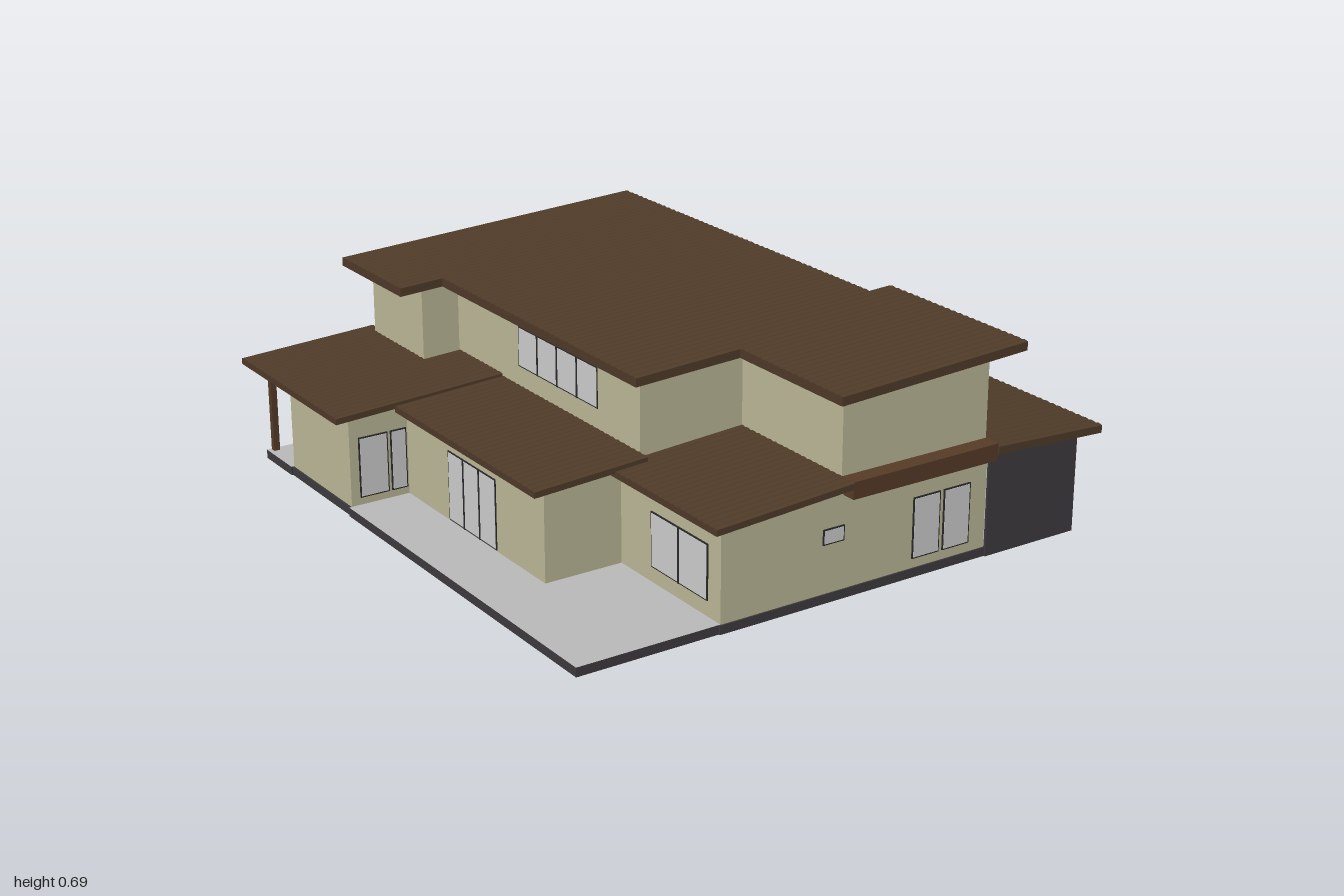
import * as THREE from 'three';

const mat = (color) => new THREE.MeshStandardMaterial({ color, flatShading: true });
const M = {
  tan: mat(0xbab697), dark: mat(0x3d3a3d), roof: mat(0x4e3a28), trim: mat(0x553b27), panel: mat(0x211a13),
  frame: mat(0x2b2a2a), grey: mat(0xcccccc), slab: mat(0xb8b8b8), drive: mat(0x929f91),
};

export function createModel() {
  const house = new THREE.Group();
  house.name = 'house';

  const add = (name, geo, m) => {
    const mesh = new THREE.Mesh(geo, m);
    mesh.name = name;
    house.add(mesh);
  };
  // Axis-aligned box from its limits
  const box = (name, x0, x1, y0, y1, z0, z1, m) => add(name,
    new THREE.BoxGeometry(x1 - x0, y1 - y0, z1 - z0).translate((x0 + x1) / 2, (y0 + y1) / 2, (z0 + z1) / 2), m);

  // Walls along a path of [x, z] with the outside on its +z side when heading +x;
  // top(x) follows the roof slope, a grey lining covers the inside
  const walls = (name, pts, y0, top, m, out = 0) => {
    for (let i = 0; i < pts.length - 1; i++) {
      const [ax, az] = pts[i], [bx, bz] = pts[i + 1];
      const len = Math.hypot(bx - ax, bz - az);
      const nx = -(bz - az) / len, nz = (bx - ax) / len;
      const layer = (label, o0, o1, extra, material) => {
        const g = new THREE.BoxGeometry(len + extra, 1, o1 - o0);
        g.translate(0, 0.5, (o0 + o1) / 2).rotateY(Math.atan2(nx, nz));
        g.translate((ax + bx) / 2, 0, (az + bz) / 2);
        const p = g.attributes.position;
        for (let k = 0; k < p.count; k++) p.setY(k, p.getY(k) > 0.5 ? top(p.getX(k)) : y0);
        add(label, g, material);
      };
      layer(name, -0.008, out, out * 2, m);
      layer(name + 'Lining', -0.016, -0.008, -0.01, M.grey);
    }
  };

  // Framed opening through the wall at (x, z), facing 'x+', 'x-', 'z+' or 'z-';
  // splits and rails are bar positions 0..1
  const turn = { 'z+': 0, 'x+': Math.PI / 2, 'z-': Math.PI, 'x-': -Math.PI / 2 };
  const opening = (name, x, z, dir, w, y0, y1, splits = [], rails = []) => {
    const g = new THREE.Group();
    g.name = name;
    const part = (label, cx, cy, sx, sy, sz, m) => {
      const mesh = new THREE.Mesh(new THREE.BoxGeometry(sx, sy, sz), m);
      mesh.name = label;
      mesh.position.set(cx, cy, -0.009);
      g.add(mesh);
    };
    const h = y1 - y0, cy = (y0 + y1) / 2;
    part('frame', 0, cy, w, h, 0.022, M.frame);
    part('glass', 0, cy, w - 0.008, h - 0.008, 0.024, M.grey);
    for (const s of splits) part('mullion', (s - 0.5) * w, cy, 0.008, h, 0.026, M.frame);
    for (const r of rails) part('rail', 0, y0 + r * h, w, 0.005, 0.026, M.frame);
    g.position.set(x, 0, z);
    g.rotation.y = turn[dir];
    house.add(g);
  };

  // Tiled roof sheet: scalloped profile across z, run along x, then sheared to the slope
  const roof = (name, x0, x1, z0, z1, under, thick) => {
    const s = new THREE.Shape();
    const n = Math.round((z1 - z0) / 0.028), pitch = (z1 - z0) / n;
    s.moveTo(-z0, 0);
    for (let i = 0; i < n; i++)
      for (const [t, y] of [[0, -0.003], [0.25, -0.0012], [0.5, 0], [0.75, -0.0012]])
        s.lineTo(-(z0 + (i + t) * pitch), thick + y);
    s.lineTo(-z1, thick - 0.003);
    s.lineTo(-z1, 0);
    const g = new THREE.ExtrudeGeometry(s, { depth: x1 - x0, bevelEnabled: false });
    g.rotateY(Math.PI / 2).translate(x0, 0, 0);
    const p = g.attributes.position;
    for (let k = 0; k < p.count; k++) p.setY(k, p.getY(k) + under(p.getX(k)));
    g.computeVertexNormals();
    add(name, g, M.roof);
  };

  const upperUnder = (x) => 0.602 + 0.047 * (x + 0.6);
  const rightUnder = (x) => 0.35 - 0.05 * (x - 0.5);
  const backLeftUnder = (x) => 0.335 + 0.05 * (x + 0.97);
  const midLeftUnder = (x) => 0.335 + 0.055 * (x + 0.77);
  const frontLeftUnder = (x) => 0.335 + 0.06 * (x + 0.5);

  // Ground storey walls with a dark plinth below
  const backPath = [[0.33, -0.94], [-0.5, -0.94], [-0.5, -0.77], [-0.91, -0.77], [-0.91, -0.37],
    [-0.71, -0.37], [-0.71, 0.44], [-0.45, 0.44], [-0.45, 0.94]];
  const frontPath = [[-0.45, 0.94], [0.5, 0.94]];
  const middlePath = [[0.33, 0.43], [0.33, -0.36]];
  const wingPath = [[0.5, 0.95], [0.845, 0.95], [0.845, 0.43], [0.33, 0.43]];
  const garagePath = [[0.33, -0.36], [0.91, -0.36], [0.91, -0.95], [0.33, -0.95]];
  const groundTop = () => 0.35;
  walls('backWall', backPath, 0.04, groundTop, M.tan);
  walls('frontWall', frontPath, 0.04, (x) => (x < 0 ? 0.35 : 0.365), M.tan);
  walls('entryWall', middlePath, 0.04, groundTop, M.tan);
  for (const p of [backPath, frontPath, middlePath]) walls('plinth', p, 0.012, () => 0.04, M.dark, 0.005);
  walls('frontWingWall', wingPath, 0.012, groundTop, M.dark);
  walls('garageWall', garagePath, 0.012, groundTop, M.dark);

  // Inside partitions
  box('garagePartition', 0.322, 0.338, 0.03, 0.345, -0.93, -0.38, M.grey);
  for (const x of [-0.23, 0.05]) box('roomPartition', x - 0.008, x + 0.008, 0.03, 0.34, -0.6, -0.32, M.grey);
  for (const z of [-0.6, -0.32]) box('roomPartition', -0.23, 0.05, 0.03, 0.34, z - 0.008, z + 0.008, M.grey);

  // Upper storey walls, with a recessed balcony at the back
  const upperTop = (x) => upperUnder(x) + 0.008;
  walls('upperWall', [[-0.39, -0.6], [-0.39, 0.45], [-0.03, 0.45], [-0.03, 0.93], [0.5, 0.93],
    [0.5, 0.43], [0.33, 0.43], [0.33, -0.93], [0, -0.93], [0, -0.6], [-0.39, -0.6]], 0.34, upperTop, M.tan);
  walls('balconyCornerWall', [[-0.44, -0.93], [-0.52, -0.93], [-0.52, -0.6]], 0.34, upperTop, M.tan);
  box('balconySideWall', -0.52, -0.38, 0.34, 0.612, -0.616, -0.6, M.tan);
  box('balconyFloor', -0.51, 0, 0.34, 0.36, -0.94, -0.6, M.panel);
  box('upperFloor', -0.38, 0.32, 0.34, 0.355, -0.6, 0.44, M.panel);
  for (let i = 0; i < 5; i++) box('balconyRail', -0.44, 0, 0.38 + i * 0.02, 0.383 + i * 0.02, -0.93, -0.927, M.slab);
  for (const x of [-0.3, -0.15]) box('balconyRailPost', x - 0.003, x + 0.003, 0.36, 0.463, -0.932, -0.925, M.slab);
  opening('balconyDoor', -0.2, -0.602, 'z-', 0.24, 0.37, 0.56, [0.5]);

  // Brown bands between the storeys
  box('frontBand', -0.03, 0.5, 0.33, 0.383, 0.93, 0.985, M.trim);
  box('entryBand', 0.32, 0.4, 0.335, 0.385, -0.36, 0.43, M.trim);
  box('backBand', -0.5, 0.33, 0.338, 0.362, -0.955, -0.93, M.trim);

  // Upper roof in four strips on one slope
  for (const [x0, x1, z0, z1] of [[-0.6, 0.5, -0.985, -0.59], [-0.45, 0.5, -0.59, 0.37],
    [-0.45, 0.58, 0.37, 0.52], [-0.09, 0.58, 0.52, 1]]) roof('upperRoof', x0, x1, z0, z1, upperUnder, 0.03);
  // Lower roofs
  roof('garageRoof', 0.33, 0.97, -0.99, -0.33, rightUnder, 0.027);
  roof('frontWingRoof', 0.5, 0.905, 0.39, 0.99, rightUnder, 0.027);
  roof('frontWingRoof', 0.33, 0.5, 0.41, 0.93, rightUnder, 0.02);
  roof('porchRoof', -0.97, -0.5, -0.99, -0.6, backLeftUnder, 0.022);
  roof('backLeftRoof', -0.97, -0.39, -0.6, -0.33, backLeftUnder, 0.022);
  roof('midLeftRoof', -0.77, -0.39, -0.33, 0.49, midLeftUnder, 0.022);
  roof('frontLeftRoof', -0.5, -0.03, 0.44, 0.99, frontLeftUnder, 0.022);

  // Terrace and porch slabs with dark edges, driveway and steps
  const slabSides = [M.dark, M.dark, M.slab, M.slab, M.dark, M.dark];
  for (const [x0, x1, z0, z1] of [[-0.92, -0.71, -0.37, 0.94], [-0.71, -0.45, 0.44, 0.94], [-0.92, -0.5, -0.95, -0.77]])
    box('terrace', x0, x1, 0.012, 0.041, z0, z1, slabSides);
  box('driveway', 0.33, 0.905, 0.008, 0.02, -0.36, 0.43, M.drive);
  box('entryStep', 0.33, 0.42, 0.02, 0.035, -0.1, 0.16, M.dark);
  box('backStep', -0.21, 0.075, 0.014, 0.034, -1, -0.94, M.dark);
  box('porchPost', -0.905, -0.885, 0, 0.345, -0.945, -0.925, M.trim);

  // Right side: upper windows and dark accent panels
  box('accentPanel', 0.49, 0.502, 0.375, 0.655, 0.43, 0.65, M.panel);
  box('accentPanel', 0.32, 0.332, 0.375, 0.648, -0.58, -0.35, M.panel);
  opening('highWindow', 0.504, 0.538, 'x+', 0.17, 0.54, 0.585);
  opening('highWindow', 0.334, -0.465, 'x+', 0.17, 0.54, 0.585);
  opening('upperWindow', 0.502, 0.8, 'x+', 0.22, 0.39, 0.585, [0.38]);
  opening('upperWindow', 0.332, -0.745, 'x+', 0.22, 0.39, 0.585, [0.65]);
  opening('upperWindow', 0.332, 0.285, 'x+', 0.2, 0.39, 0.585, [0.5], [0.45]);
  opening('upperWindow', 0.332, 0.035, 'x+', 0.15, 0.39, 0.585, [0.5]);
  opening('upperWindow', 0.332, -0.215, 'x+', 0.2, 0.39, 0.585, [0.5], [0.45]);

  // Right side: ground floor
  for (const z of [0.795, 0.675, 0.56]) opening('wingWindow', 0.846, z, 'x+', 0.075, 0.07, 0.26);
  for (const z of [-0.51, -0.63, -0.75]) opening('garageWindow', 0.911, z, 'x+', 0.075, 0.07, 0.26);
  for (const z of [0.285, -0.2]) opening('tallWindow', 0.332, z, 'x+', 0.2, 0.07, 0.325, [0.5], [0.78]);
  opening('frontDoor', 0.332, 0.035, 'x+', 0.11, 0.04, 0.27);
  for (const z of [0.125, -0.06]) box('entryColumn', 0.33, 0.37, 0.02, 0.34, z - 0.018, z + 0.018, M.dark);
  opening('garageDoor', 0.62, -0.358, 'z+', 0.5, 0.03, 0.27, [], [0.25, 0.5, 0.75]);

  // Front windows
  opening('frontWindow', 0.275, 0.942, 'z+', 0.1, 0.07, 0.262);
  opening('frontWindow', 0.388, 0.942, 'z+', 0.1, 0.07, 0.262);
  opening('smallWindow', -0.063, 0.942, 'z+', 0.075, 0.192, 0.24);
  opening('terraceDoor', -0.83, -0.368, 'z+', 0.1, 0.065, 0.262);
  opening('terraceDoor', -0.743, -0.368, 'z+', 0.055, 0.065, 0.262);

  // Left side windows
  opening('leftDoor', -0.711, 0.03, 'x-', 0.28, 0.045, 0.27, [0.33, 0.66]);
  opening('frontLeftWindow', -0.452, 0.74, 'x-', 0.28, 0.09, 0.262, [0.5]);
  opening('upperLeftWindow', -0.39, 0, 'x-', 0.45, 0.44, 0.57, [0.25, 0.5, 0.75]);

  // Back doors and windows
  opening('porchDoor', -0.705, -0.772, 'z-', 0.37, 0.045, 0.27, [0.25, 0.5, 0.75]);
  opening('backDoor', 0.17, -0.942, 'z-', 0.08, 0.045, 0.25);
  opening('smallWindow', -0.34, -0.942, 'z-', 0.09, 0.19, 0.24);

  return house;
}
